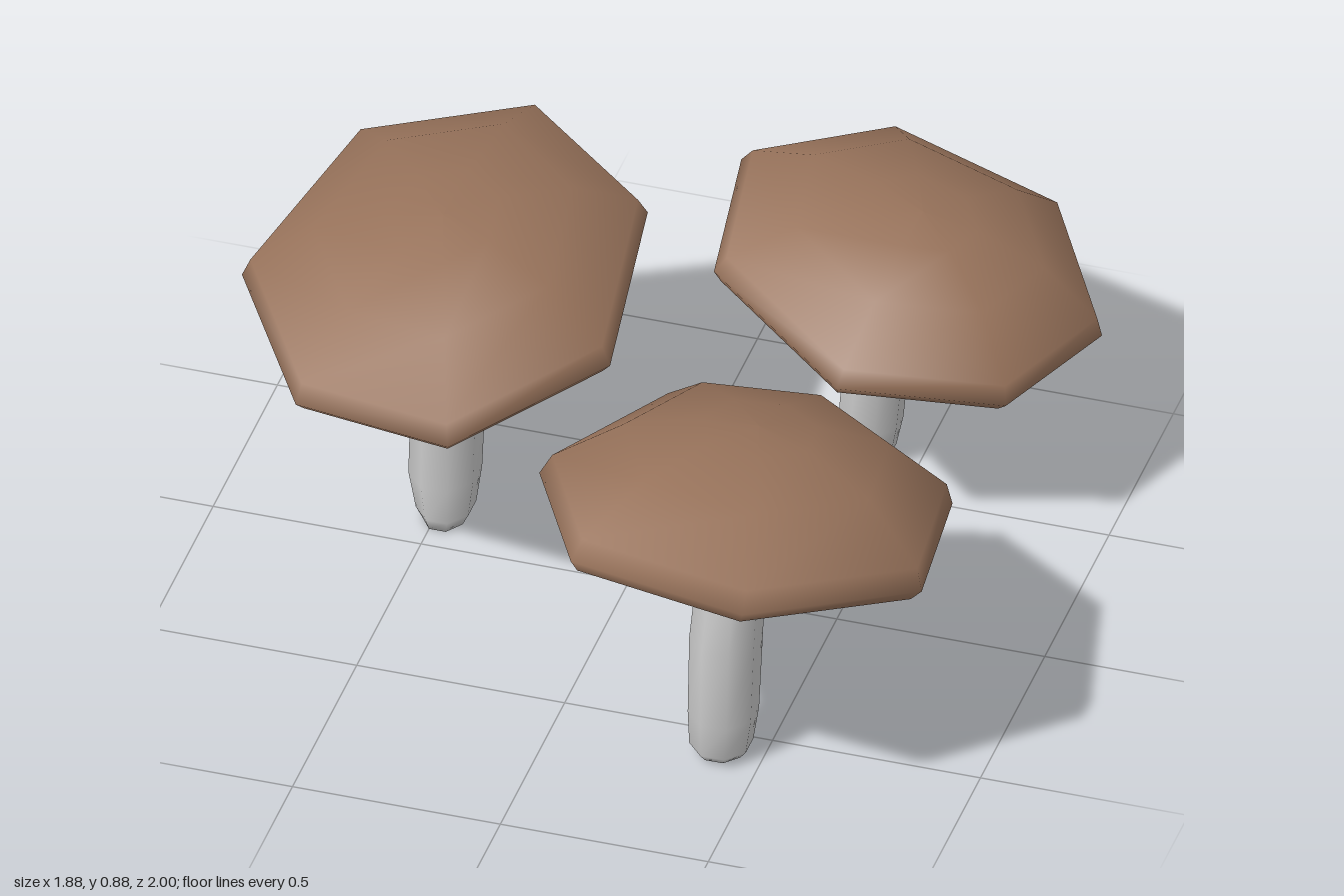
import * as THREE from 'three';

// Skin a stack of equal-length rings (clockwise from above) with smooth normals
function loft(rings) {
  const n = rings[0].length, idx = [];
  for (let j = 0; j < rings.length - 1; j++) {
    for (let k = 0; k < n; k++) {
      const a = j * n + k, b = j * n + (k + 1) % n;
      idx.push(a, a + n, b, b, a + n, b + n);
    }
  }
  const geo = new THREE.BufferGeometry().setFromPoints(rings.flat());
  geo.setIndex(idx);
  geo.computeVertexNormals();
  return geo;
}

// center: middle of the rim plane; slope: [dy/dx, dy/dz] of that plane
// rim: [x, z] corners; stem: [x, y, z, rx, rz] cross-sections from the ground up
const MUSHROOMS = [
  {
    name: 'tallMushroom', center: [-0.48, 0.66, -0.13], slope: [0, -0.12], thick: 0.95,
    rim: [[-0.44, -0.73], [-0.10, -0.47], [-0.03, 0.05], [-0.31, 0.41], [-0.69, 0.36], [-0.94, -0.03], [-0.82, -0.54]],
    stem: [[-0.48, 0, -0.13, 0.05, 0.07], [-0.48, 0.03, -0.13, 0.065, 0.08], [-0.485, 0.12, -0.14, 0.08, 0.09],
      [-0.485, 0.33, -0.165, 0.08, 0.105], [-0.48, 0.58, -0.15, 0.072, 0.085]],
  },
  {
    name: 'frontMushroom', center: [0.43, 0.64, 0.5], slope: [-0.12, 0.18], thick: 1,
    rim: [[0.52, -0.01], [0.84, 0.20], [0.905, 0.65], [0.58, 0.995], [0.16, 0.97], [-0.03, 0.60], [0.12, 0.14]],
    stem: [[0.4, 0.01, 0.575, 0.055, 0.06], [0.4, 0.03, 0.575, 0.07, 0.075], [0.405, 0.12, 0.575, 0.078, 0.082],
      [0.41, 0.33, 0.57, 0.08, 0.09], [0.418, 0.56, 0.54, 0.073, 0.08]],
  },
  {
    name: 'backMushroom', center: [0.48, 0.567, -0.6], slope: [-0.25, -0.10], thick: 0.9,
    rim: [[0.32, -1.0], [0.74, -0.96], [0.94, -0.64], [0.81, -0.31], [0.45, -0.16], [0.09, -0.37], [0.04, -0.745]],
    stem: [[0.385, 0.02, -0.625, 0.05, 0.045], [0.385, 0.04, -0.625, 0.06, 0.057], [0.39, 0.12, -0.62, 0.072, 0.07],
      [0.405, 0.3, -0.62, 0.073, 0.072], [0.455, 0.49, -0.61, 0.068, 0.066]],
  },
];

// Profiles as [fraction of rim radius, height along the cap's axis]
const CAP_TOP = [[0.95, -0.03], [1, 0], [0.955, 0.05], [0.64, 0.16], [0.28, 0.208], [0, 0.214]];
const CAP_UNDER = [[0.46, -0.025], [0.95, -0.03]];
const GILLS = [[0.14, -0.125], [0.24, -0.095], [0.47, -0.026]];

export function createModel() {
  const brown = new THREE.MeshStandardMaterial({ name: 'capBrown', color: 0x98735b });
  const grey = new THREE.MeshStandardMaterial({ name: 'stemGrey', color: 0xc8c8c8 });
  const model = new THREE.Group();
  model.name = 'mushrooms';

  for (const m of MUSHROOMS) {
    const group = new THREE.Group();
    group.name = m.name;
    const add = (name, geo, mat) => {
      const mesh = new THREE.Mesh(geo, mat);
      mesh.name = name;
      group.add(mesh);
    };

    // Cap rings scaled from the rim outline and lifted along the tilted axis
    const [cx, cy, cz] = m.center, [sx, sz] = m.slope;
    const capRings = (profile) => profile.map(([s, h]) => m.rim.map(([x, z]) => {
      const dx = (x - cx) * s, dz = (z - cz) * s, up = h > 0 ? h * m.thick : h;
      return new THREE.Vector3(cx + dx - sx * up, cy + sx * dx + sz * dz + up, cz + dz - sz * up);
    }));
    add('cap', loft(capRings(CAP_TOP)), brown);
    add('capUnderside', loft(capRings(CAP_UNDER)), brown);
    add('gills', loft(capRings(GILLS)), grey);

    // Slightly bent stem with a closed, rounded foot
    const [bx, by, bz] = m.stem[0];
    const sections = [[bx, by, bz, 0, 0], ...m.stem];
    add('stem', loft(sections.map(([x, y, z, rx, rz]) => Array.from({ length: 8 }, (_, k) => {
      const t = (k + 0.5) * Math.PI / 4;
      return new THREE.Vector3(x + rx * 1.05 * Math.cos(t), y, z + rz * 1.05 * Math.sin(t));
    }))), grey);

    model.add(group);
  }
  return model;
}
